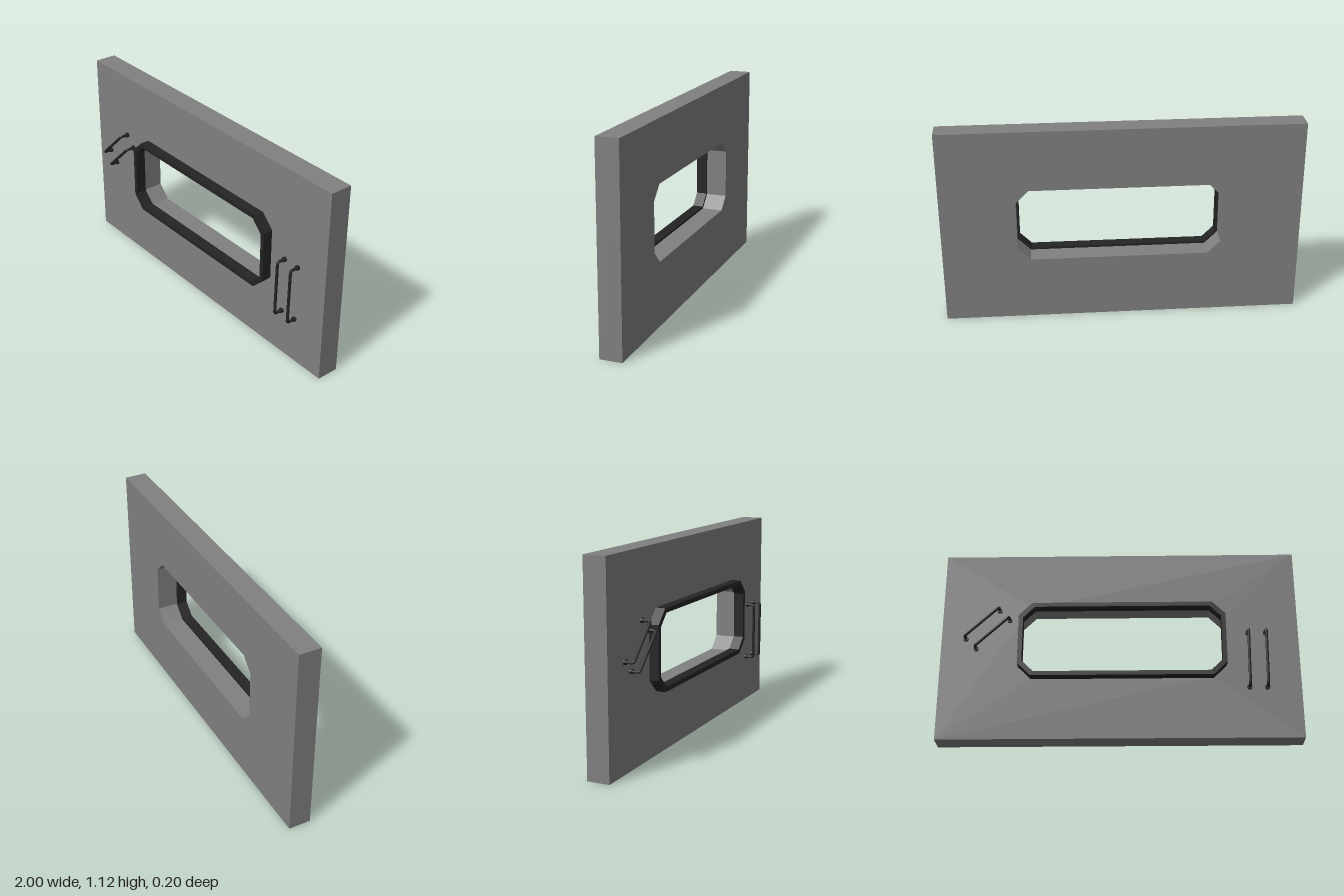
import * as THREE from 'three';

const wallMat = new THREE.MeshStandardMaterial({ color: 0x808080 });
const frameMat = new THREE.MeshStandardMaterial({ color: 0x242424 });

// Corner points of a rectangle with cut corners
function octagon(x0, x1, y0, y1, c) {
  return [
    [x0 + c, y0], [x1 - c, y0], [x1, y0 + c], [x1, y1 - c],
    [x1 - c, y1], [x0 + c, y1], [x0, y1 - c], [x0, y0 + c],
  ].map(([x, y]) => new THREE.Vector2(x, y));
}

// Flat plate with a hole, from z0 to z1
function plate(name, outline, hole, z0, z1, material) {
  const shape = new THREE.Shape(outline);
  shape.holes.push(new THREE.Path(hole));
  const geometry = new THREE.ExtrudeGeometry(shape, { depth: z1 - z0, bevelEnabled: false });
  geometry.translate(0, 0, z0);
  const mesh = new THREE.Mesh(geometry, material);
  mesh.name = name;
  return mesh;
}

// Bent bar with a round foot at each end
function handle(name, ax, ay, bx, by) {
  const group = new THREE.Group();
  group.name = name;
  const zBar = 0.092, zFoot = 0.046, r = 0.014;
  const a = new THREE.Vector3(ax, ay, zBar), b = new THREE.Vector3(bx, by, zBar);
  const along = b.clone().sub(a).setLength(r);
  const at = (p, z) => new THREE.Vector3(p.x, p.y, z);
  const a1 = at(a, zBar - r), a2 = a.clone().add(along);
  const b1 = b.clone().sub(along), b2 = at(b, zBar - r);

  const path = new THREE.CurvePath();
  path.add(new THREE.LineCurve3(at(a, zFoot), a1));
  path.add(new THREE.QuadraticBezierCurve3(a1, a, a2));
  path.add(new THREE.LineCurve3(a2, b1));
  path.add(new THREE.QuadraticBezierCurve3(b1, b, b2));
  path.add(new THREE.LineCurve3(b2, at(b, zFoot)));
  const bar = new THREE.Mesh(new THREE.TubeGeometry(path, 72, 0.008, 10), frameMat);
  bar.name = 'handleBar';
  group.add(bar);

  for (const p of [a, b]) {
    const foot = new THREE.Mesh(new THREE.CylinderGeometry(0.014, 0.014, 0.014, 12), frameMat);
    foot.name = 'handleFoot';
    foot.rotation.x = Math.PI / 2;
    foot.position.set(p.x, p.y, zFoot);
    group.add(foot);
  }
  return group;
}

export function createModel() {
  const model = new THREE.Group();
  model.name = 'wallPanel';

  // Wall slab with its opening
  model.add(plate('wall', octagon(-1, 1, 0, 1.125, 0).filter((p, i) => i % 2 === 0),
    octagon(-0.553, 0.583, 0.362, 0.783, 0.072), -0.1, 0.025, wallMat));

  // Raised frame around the opening
  model.add(plate('windowFrame', octagon(-0.565, 0.595, 0.35, 0.795, 0.075),
    octagon(-0.54, 0.57, 0.375, 0.77, 0.065), 0.02, 0.08, frameMat));

  // Slanted pair on the right, upright pair on the left
  model.add(handle('slantedHandleUpper', -0.86, 0.588, -0.677, 0.763));
  model.add(handle('slantedHandleLower', -0.80, 0.528, -0.618, 0.702));
  model.add(handle('uprightHandleInner', 0.712, 0.286, 0.718, 0.614));
  model.add(handle('uprightHandleOuter', 0.81, 0.286, 0.816, 0.614));
  return model;
}
